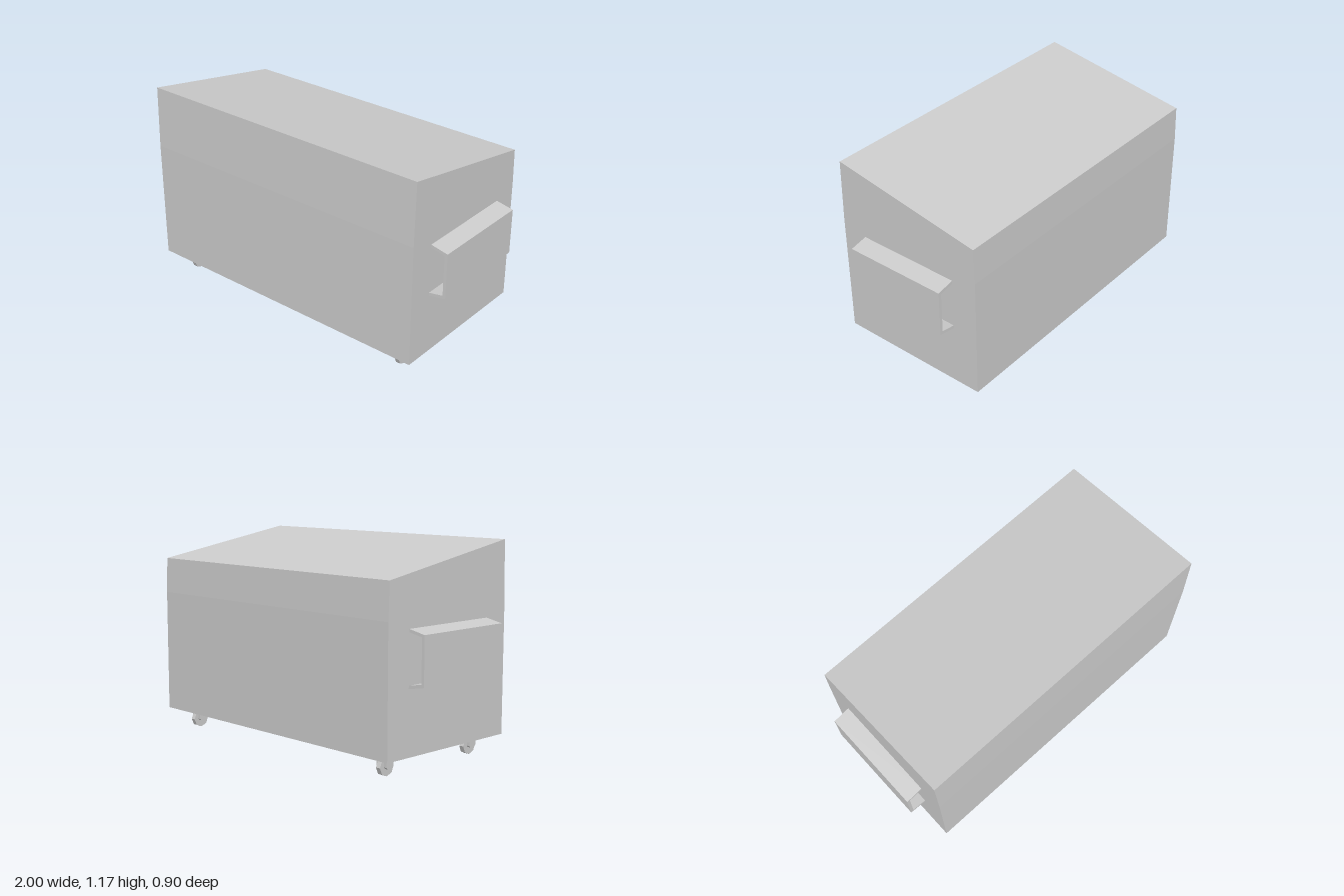
import * as THREE from 'three';

const material = new THREE.MeshStandardMaterial({ color: 0xcccccc, flatShading: true });

function mesh(geometry, name) {
  const m = new THREE.Mesh(geometry, material);
  m.name = name;
  return m;
}

function outline(points) {
  return new THREE.Shape(points.map(([a, b]) => new THREE.Vector2(a, b)));
}

// Extrude an outline, centred on its depth axis
function extrude(points, depth) {
  const g = new THREE.ExtrudeGeometry(outline(points), { depth, bevelEnabled: false });
  return g.translate(0, 0, -depth / 2);
}

// Extrude a (z, y) side outline along x
function extrudeAcross(points, width) {
  return extrude(points, width).rotateY(-Math.PI / 2);
}

// Caster: two fork plates around an eight-sided wheel
function createCaster() {
  const caster = new THREE.Group();
  caster.name = 'caster';
  const plate = [
    [-0.025, 0.114], [-0.025, 0.052], [-0.018, 0.043],
    [0.018, 0.043], [0.025, 0.052], [0.025, 0.114],
  ];
  for (const side of [-1, 1]) {
    const fork = mesh(extrudeAcross(plate, 0.018), 'forkPlate');
    fork.position.x = side * 0.027;
    caster.add(fork);
  }
  const wheel = mesh(new THREE.CylinderGeometry(0.05, 0.05, 0.028, 8).rotateZ(Math.PI / 2), 'wheel');
  wheel.position.y = 0.05;
  caster.add(wheel);
  const axle = mesh(new THREE.CylinderGeometry(0.008, 0.008, 0.05, 8).rotateZ(Math.PI / 2), 'axle');
  axle.position.y = 0.05;
  caster.add(axle);
  return caster;
}

export function createModel() {
  const model = new THREE.Group();
  model.name = 'wheeledBin';

  // Body with a sloping top, its upper walls leaning in slightly
  model.add(mesh(extrudeAcross([
    [-0.45, 0.113], [0.45, 0.113], [0.45, 0.81], [0.441, 1.168],
    [-0.443, 1.011], [-0.45, 0.81],
  ], 1.8), 'body'));

  // Channel-shaped side handles
  const channel = [
    [0.9, 0.763], [0.9, 0.746], [0.983, 0.73], [0.983, 0.496],
    [0.9, 0.48], [0.9, 0.463], [1, 0.482], [1, 0.743],
  ];
  for (const side of [-1, 1]) {
    const handle = mesh(extrude(channel, 0.6), side > 0 ? 'leftHandle' : 'rightHandle');
    if (side < 0) handle.rotation.y = Math.PI;
    model.add(handle);
  }

  // Casters at the four corners
  for (const x of [-0.766, 0.766]) {
    for (const z of [-0.325, 0.325]) {
      const caster = createCaster();
      caster.position.set(x, 0, z);
      model.add(caster);
    }
  }
  return model;
}
